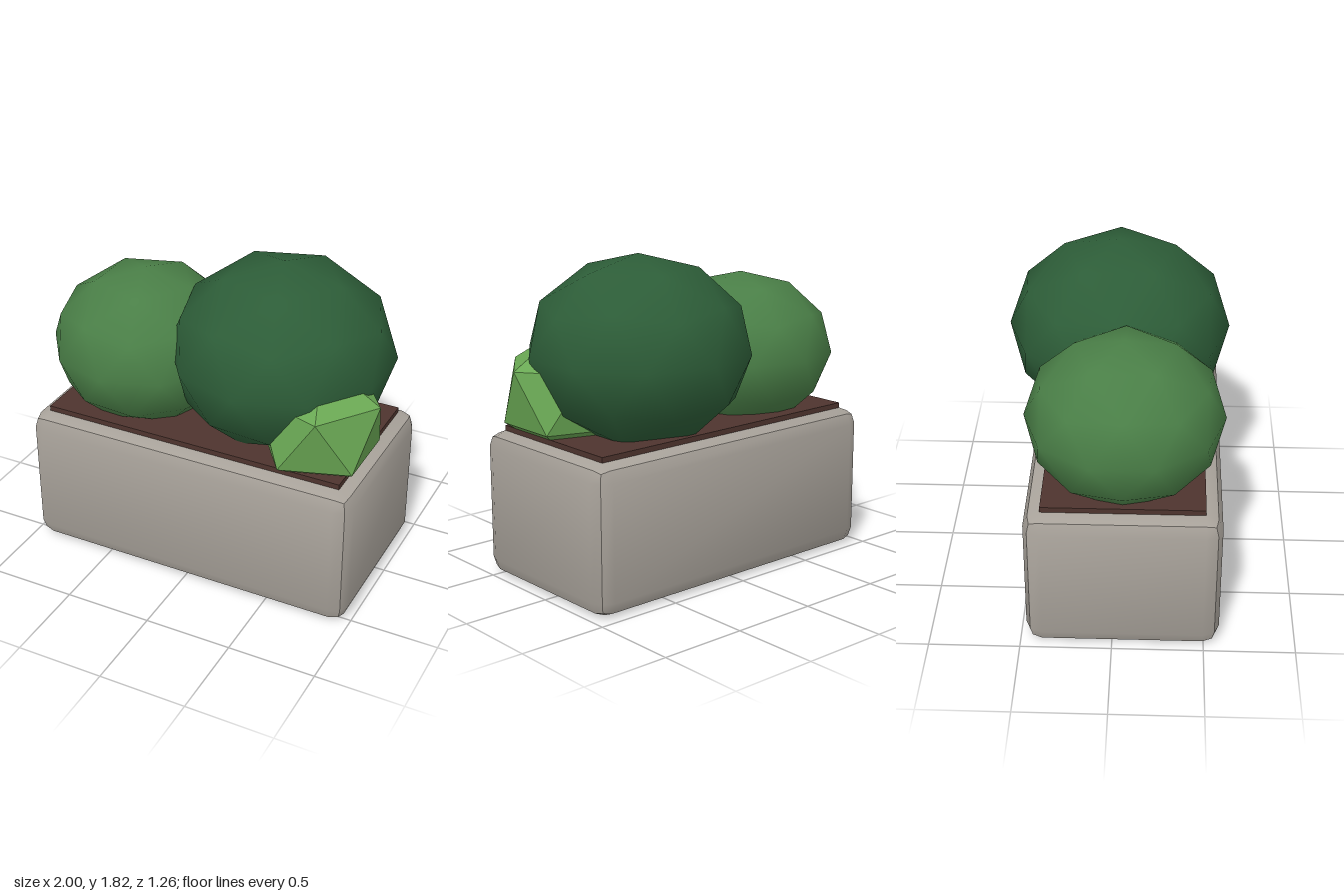
import * as THREE from 'three';
import { toCreasedNormals } from 'three/addons/utils/BufferGeometryUtils.js';

const mat = (name, color) => {
  const m = new THREE.MeshStandardMaterial({ color });
  m.name = name;
  return m;
};

// Box whose edges are rounded by two flat strips, creased along the middle of each edge
function bevelledBox(w, h, d, r) {
  const geo = new THREE.BoxGeometry(2, 2, 2, 3, 3, 3);
  const pos = geo.attributes.position;
  const p = new THREE.Vector3();
  const dir = new THREE.Vector3();
  const onFace = (c) => (Math.abs(c) > 0.9 ? Math.sign(c) : 0);
  for (let i = 0; i < pos.count; i++) {
    p.fromBufferAttribute(pos, i);
    dir.set(onFace(p.x), onFace(p.y), onFace(p.z)).normalize().multiplyScalar(r);
    pos.setXYZ(
      i,
      Math.sign(p.x) * (w / 2 - r) + dir.x,
      Math.sign(p.y) * (h / 2 - r) + dir.y,
      Math.sign(p.z) * (d / 2 - r) + dir.z
    );
  }
  return toCreasedNormals(geo, THREE.MathUtils.degToRad(35));
}

// Icosphere standing on a vertex: detail 0 is faceted, detail 1 is smooth
function bushGeometry(radius, height, detail) {
  const geo = new THREE.IcosahedronGeometry(1, detail);
  geo.rotateX(-Math.atan((1 + Math.sqrt(5)) / 2));
  geo.rotateY(Math.PI / 2);
  geo.scale(radius, height, radius);
  return geo;
}

export function createModel() {
  const group = new THREE.Group();
  group.name = 'planterWithBushes';

  const add = (name, geometry, material, x, y, z) => {
    const mesh = new THREE.Mesh(geometry, material);
    mesh.name = name;
    mesh.position.set(x, y, z);
    group.add(mesh);
  };

  // Stone trough and the soil showing above its rim
  add('planterBox', bevelledBox(1.96, 0.83, 1.054, 0.09), mat('stoneGrey', 0xa8a29a), 0, 0.415, 0.057);
  add('soil', new THREE.BoxGeometry(1.78, 0.08, 0.87), mat('soilBrown', 0x4e342e), 0, 0.82, 0.057);

  // Three overlapping bushes
  add('largeBush', bushGeometry(0.63, 0.535, 1), mat('darkGreen', 0x2d5d38), 0.33, 1.285, 0);
  add('mediumBush', bushGeometry(0.54, 0.459, 1), mat('midGreen', 0x4a7f47), -0.488, 1.177, 0.055);
  add('smallBush', bushGeometry(0.376, 0.365, 0), mat('lightGreen', 0x6aa854), 0.664, 1.057, 0.235);

  return group;
}
